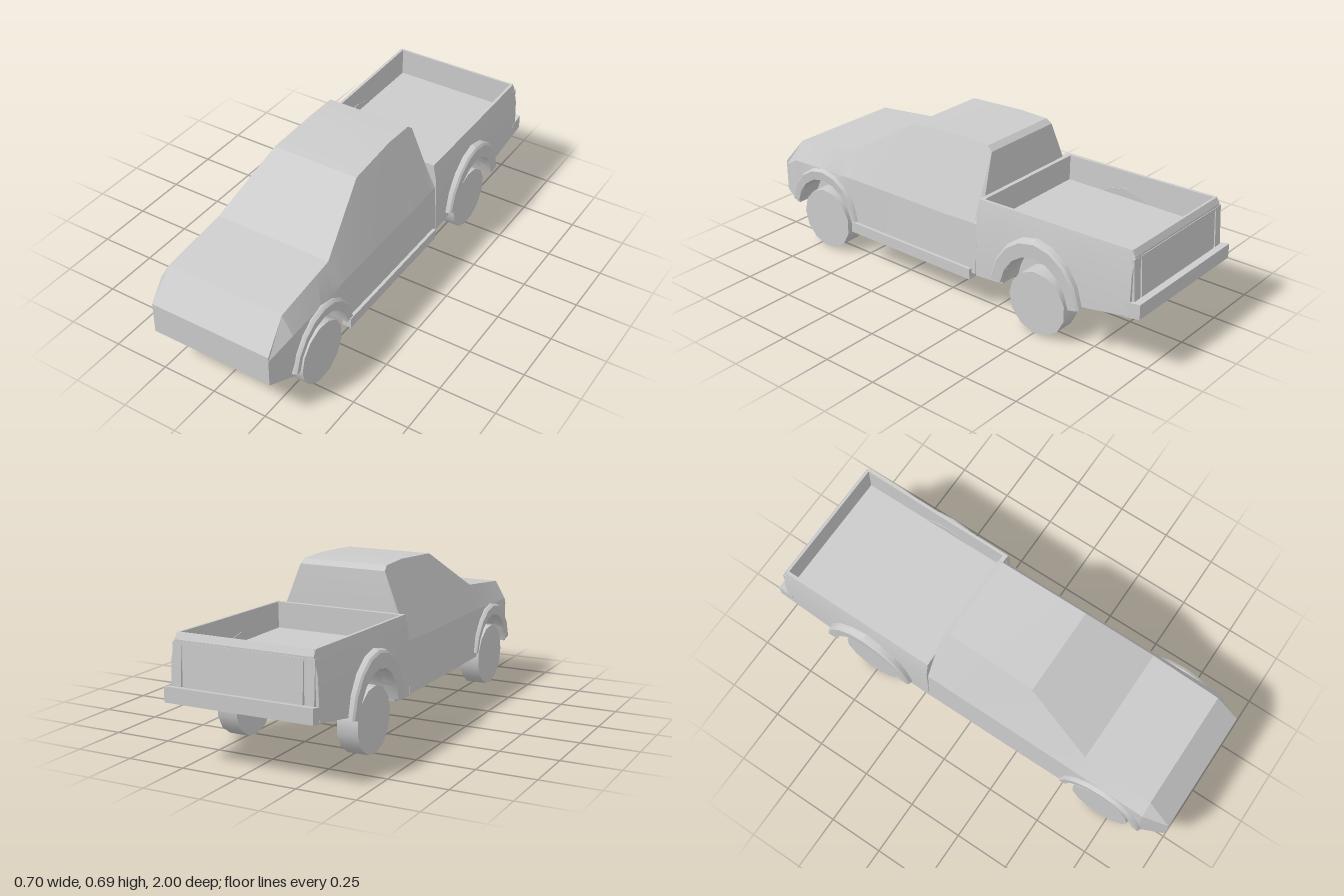
import * as THREE from 'three';
import { toCreasedNormals } from 'three/addons/utils/BufferGeometryUtils.js';

const material = new THREE.MeshStandardMaterial({ color: 0xcccccc, side: THREE.DoubleSide });
const ARCHES = [
  { z: 0.7, half: 0.175, rise: 0.19, outHalf: 0.21, outRise: 0.242, bulge: 0.338, skin: 0.315 },
  { z: -0.51, half: 0.175, rise: 0.21, outHalf: 0.232, outRise: 0.288, bulge: 0.35, skin: 0.316 },
];
const AXLE_Y = 0.143;

function addMesh(parent, name, geometry) {
  const mesh = new THREE.Mesh(geometry, material);
  mesh.name = name;
  parent.add(mesh);
  return mesh;
}

function addBox(parent, name, x0, x1, y0, y1, z0, z1) {
  const g = new THREE.BoxGeometry(x1 - x0, y1 - y0, z1 - z0);
  g.translate((x0 + x1) / 2, (y0 + y1) / 2, (z0 + z1) / 2);
  return addMesh(parent, name, g);
}

// Skin over closed rings of Vector3, with capped ends
function skin(rings, crease = 0.3) {
  const pos = [];
  const tri = (a, b, c) => {
    const area = b.clone().sub(a).cross(c.clone().sub(a)).length();
    if (area > 1e-8) for (const p of [a, b, c]) pos.push(p.x, p.y, p.z);
  };
  const n = rings[0].length;
  for (let i = 0; i < rings.length - 1; i++) {
    for (let j = 0; j < n; j++) {
      const k = (j + 1) % n;
      const a = rings[i][j], b = rings[i][k], c = rings[i + 1][j], d = rings[i + 1][k];
      tri(a, b, c);
      tri(b, d, c);
    }
  }
  for (const [ring, facing] of [[rings[0], 1], [rings[rings.length - 1], -1]]) {
    const flat = ring.map((p) => new THREE.Vector2(p.x, p.y));
    for (const [i, j, k] of THREE.ShapeUtils.triangulateShape(flat, [])) {
      const sign = flat[j].clone().sub(flat[i]).cross(flat[k].clone().sub(flat[i])) * facing;
      if (sign > 0) tri(ring[i], ring[j], ring[k]);
      else tri(ring[i], ring[k], ring[j]);
    }
  }
  const g = new THREE.BufferGeometry();
  g.setAttribute('position', new THREE.Float32BufferAttribute(pos, 3));
  return toCreasedNormals(g, crease);
}

// Lower edge of a side panel, raised over the wheels
function lowerEdge(z, base) {
  let y = base;
  for (const a of ARCHES) {
    const t = (z - a.z) / a.half;
    if (Math.abs(t) < 1) y = Math.max(y, AXLE_Y + a.rise * Math.sqrt(1 - t * t));
  }
  return y;
}

// Loft a mirrored half-section along z; keys are rows that start with z
function loftBody(keys, arch, halfSection) {
  const zs = keys.map((k) => k[0]);
  for (let i = 0; i <= 10; i++) zs.push(arch.z + arch.half * Math.cos((i / 10) * Math.PI));
  zs.sort((a, b) => b - a);
  return skin(zs.map((z) => {
    let i = 0;
    while (i < keys.length - 2 && z < keys[i + 1][0]) i++;
    const t = (keys[i][0] - z) / (keys[i][0] - keys[i + 1][0]);
    const row = keys[i].map((v, n) => THREE.MathUtils.lerp(v, keys[i + 1][n], t));
    const half = halfSection(row);
    const right = half.map(([x, y]) => new THREE.Vector3(x, y, z));
    const left = half.map(([x, y]) => new THREE.Vector3(-x, y, z)).reverse();
    return [...right, ...left];
  }));
}

// Side profile of [z, y] points extruded across the width
function crossPiece(points, halfWidth) {
  const shape = new THREE.Shape(points.map(([z, y]) => new THREE.Vector2(-z, y)));
  const g = new THREE.ExtrudeGeometry(shape, { depth: halfWidth * 2, bevelEnabled: false });
  g.translate(0, 0, -halfWidth);
  g.rotateY(Math.PI / 2);
  return g;
}

// Bulged lip around a wheel opening
function flare(a, side) {
  const rings = [];
  const ring = [[1, a.skin - 0.03], [1, a.skin + 0.008], [0.93, a.bulge - 0.008], [0.8, a.bulge], [0, a.bulge - 0.004], [0, 0.29]];
  for (let i = 0; i <= 8; i++) {
    const angle = 0.2 + (i / 8) * (Math.PI - 0.4);
    rings.push(ring.map(([t, x]) => new THREE.Vector3(
      side * x,
      AXLE_Y + Math.sin(angle) * THREE.MathUtils.lerp(a.rise, a.outRise, t),
      a.z + Math.cos(angle) * THREE.MathUtils.lerp(a.half, a.outHalf, t))));
  }
  if (side < 0) rings.forEach((r) => r.reverse());
  return skin(rings, 0.4);
}

export function createModel() {
  const truck = new THREE.Group();
  truck.name = 'pickupTruck';

  // Cab and hood: z, top x, top y, belt x, belt y, lower x, base y
  const cab = [
    [1.0, 0.28, 0.33, 0.28, 0.31, 0.28, 0.187],
    [0.89, 0.27, 0.457, 0.318, 0.375, 0.325, 0.17],
    [0.57, 0.267, 0.492, 0.317, 0.385, 0.326, 0.168],
    [0.26, 0.2, 0.68, 0.315, 0.385, 0.327, 0.166],
    [0.0, 0.193, 0.695, 0.315, 0.385, 0.327, 0.166],
    [-0.15, 0.195, 0.69, 0.315, 0.39, 0.327, 0.166],
    [-0.175, 0.2, 0.67, 0.315, 0.39, 0.327, 0.166],
    [-0.192, 0.265, 0.49, 0.315, 0.39, 0.327, 0.166],
  ];
  addMesh(truck, 'cabAndHood', loftBody(cab, ARCHES[0], ([z, xt, yt, xb, yb, xl, base]) => {
    const low = lowerEdge(z, base);
    return [[xt, yt], [xb, yb], [xl, low], [0.22, low], [0.22, base]];
  }));

  // Cargo bed: z, rail y, base y
  const bed = [
    [-0.194, 0.503, 0.16],
    [-0.35, 0.506, 0.172],
    [-0.68, 0.512, 0.2],
    [-0.935, 0.518, 0.245],
    [-0.952, 0.495, 0.25],
  ];
  addMesh(truck, 'cargoBed', loftBody(bed, ARCHES[1], ([z, rail, base]) => {
    const low = lowerEdge(z, base);
    return [[0.288, 0.39], [0.29, rail], [0.303, rail], [0.319, 0.42], [0.326, low], [0.22, low], [0.22, base]];
  }));
  addBox(truck, 'bedFrontWall', -0.295, 0.295, 0.38, 0.503, -0.214, -0.195);
  addMesh(truck, 'tailgateFrame', crossPiece(
    [[-0.93, 0.38], [-0.93, 0.518], [-0.94, 0.518], [-0.953, 0.492], [-0.953, 0.38]], 0.3));
  addMesh(truck, 'tailgate', crossPiece(
    [[-0.94, 0.27], [-0.94, 0.485], [-0.956, 0.485], [-0.966, 0.29]], 0.262));
  for (const side of [-1, 1]) {
    const post = addMesh(truck, 'tailgatePost', crossPiece(
      [[-0.94, 0.27], [-0.94, 0.485], [-0.955, 0.485], [-0.966, 0.29]], 0.019));
    post.position.x = side * 0.291;
  }

  // Rear bumper, underbody and side step
  addMesh(truck, 'rearBumper', crossPiece(
    [[-0.93, 0.24], [-0.93, 0.305], [-1.0, 0.316], [-1.0, 0.252]], 0.325));
  addMesh(truck, 'underbody', crossPiece(
    [[0.52, 0.172], [0.5, 0.145], [-0.17, 0.138], [-0.2, 0.153], [-0.82, 0.2], [-0.82, 0.235]], 0.218));
  addBox(truck, 'sideStep', 0.3, 0.34, 0.138, 0.186, -0.17, 0.52);

  // Wheels and arch flares
  for (const arch of ARCHES) {
    for (const side of [-1, 1]) {
      addMesh(truck, 'wheelFlare', flare(arch, side));
      const wheel = new THREE.CylinderGeometry(0.14, 0.14, 0.092, 13);
      wheel.rotateZ(Math.PI / 2);
      addMesh(truck, 'wheel', wheel).position.set(side * 0.276, 0.14, arch.z);
    }
  }
  return truck;
}
